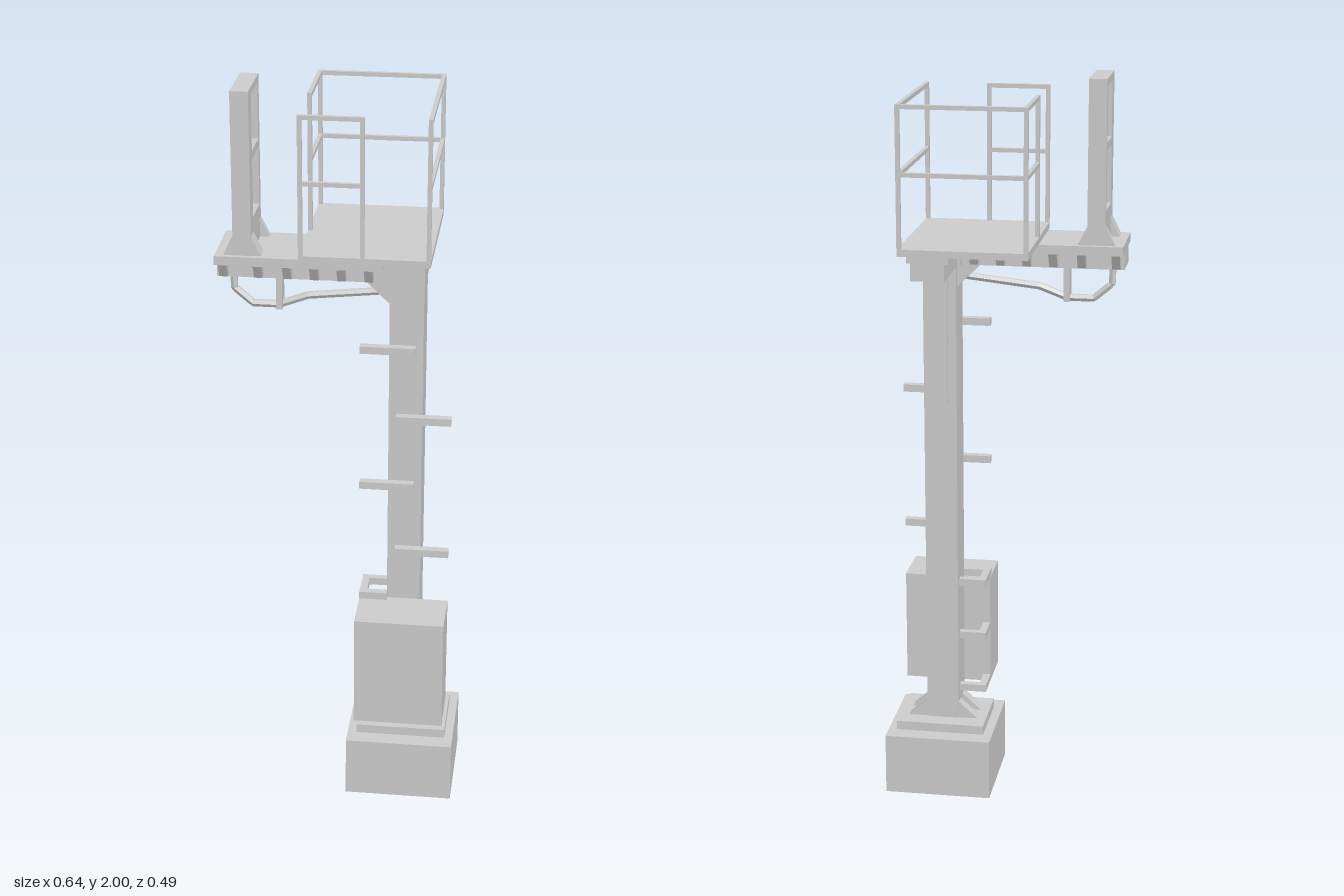
import * as THREE from 'three';

const material = new THREE.MeshStandardMaterial({ color: 0xcccccc, flatShading: true, side: THREE.DoubleSide });

export function createModel() {
  const model = new THREE.Group();

  function add(parent, name, geometry) {
    const mesh = new THREE.Mesh(geometry, material);
    mesh.name = name;
    parent.add(mesh);
    return mesh;
  }
  // Box given by its lower and upper limits on each axis
  function box(parent, name, x0, x1, y0, y1, z0, z1) {
    const mesh = add(parent, name, new THREE.BoxGeometry(x1 - x0, y1 - y0, z1 - z0));
    mesh.position.set((x0 + x1) / 2, (y0 + y1) / 2, (z0 + z1) / 2);
    return mesh;
  }
  // Outline in x-y, extruded from z0 to z1
  function prismXY(parent, name, points, z0, z1) {
    const shape = new THREE.Shape(points.map(p => new THREE.Vector2(...p)));
    const geometry = new THREE.ExtrudeGeometry(shape, { depth: z1 - z0, bevelEnabled: false });
    geometry.translate(0, 0, z0);
    return add(parent, name, geometry);
  }
  // Outline in z-y, extruded from x0 to x1
  function prismZY(parent, name, points, x0, x1, holes = []) {
    const shape = new THREE.Shape(points.map(([z, y]) => new THREE.Vector2(-z, y)));
    holes.forEach(h => shape.holes.push(new THREE.Path(h.map(([z, y]) => new THREE.Vector2(-z, y)))));
    const geometry = new THREE.ExtrudeGeometry(shape, { depth: x1 - x0, bevelEnabled: false });
    geometry.rotateY(Math.PI / 2);
    geometry.translate(x0, 0, 0);
    return add(parent, name, geometry);
  }
  const rect = (a0, a1, b0, b1) => [[a0, b0], [a1, b0], [a1, b1], [a0, b1]];
  function group(name) {
    const g = new THREE.Group();
    g.name = name;
    model.add(g);
    return g;
  }

  // Foundation and foot
  const foot = group('foot');
  box(foot, 'foundation', 0.025, 0.318, 0, 0.17, -0.097, 0.192);
  box(foot, 'basePlate', 0.05, 0.295, 0.17, 0.195, -0.048, 0.146);
  for (const [z0, z1] of [[0.003, 0.033], [0.063, 0.095]]) {
    prismXY(foot, 'footGusset', [[0.213, 0.195], [0.268, 0.195], [0.213, 0.245]], z0, z1);
    prismXY(foot, 'footGusset', [[0.129, 0.195], [0.129, 0.245], [0.075, 0.195]], z0, z1);
  }

  // Mast with head and rear cover strip
  const mast = group('mast');
  box(mast, 'mastPost', 0.127, 0.216, 0.195, 1.57, 0, 0.1);
  box(mast, 'mastHead', 0.11, 0.218, 1.5, 1.57, -0.022, 0.115);
  box(mast, 'rearStrip', 0.15, 0.19, 1.115, 1.5, -0.008, 0.001);
  prismXY(mast, 'headGusset', [[0.06, 1.5], [0.128, 1.435], [0.128, 1.5]], 0.015, 0.085);

  // Climbing steps, alternating sides
  [0.735, 0.93, 1.125, 1.32].forEach((y, i) => {
    const x = i % 2 ? 0.052 : 0.148;
    box(mast, 'step', x, x + 0.145, y - 0.01, y + 0.01, 0.1, 0.122);
  });

  // Equipment cabinet and its mounting brackets
  const cabinet = group('cabinet');
  box(cabinet, 'cabinetBody', 0.053, 0.293, 0.27, 0.582, 0.1, 0.242);
  for (const y of [0.27, 0.428, 0.585]) {
    box(cabinet, 'bracketArm', 0.053, 0.128, y, y + 0.02, 0.02, 0.04);
    box(cabinet, 'bracketSide', 0.053, 0.073, y, y + 0.02, 0.04, 0.121);
    box(cabinet, 'bracketFront', 0.073, 0.128, y, y + 0.02, 0.1, 0.121);
  }

  // Side arm: beam, wide deck and gussets beneath it
  const arm = group('sideArm');
  box(arm, 'armBeam', -0.32, 0.112, 1.5, 1.546, 0, 0.1);
  box(arm, 'armDeck', -0.32, 0.112, 1.546, 1.57, -0.048, 0.144);
  for (const x of [-0.3, -0.21, -0.135, -0.065, 0.005, 0.075]) {
    prismZY(arm, 'armGusset', [[0.1, 1.505], [0.115, 1.505], [0.138, 1.546], [0.1, 1.546]], x - 0.011, x + 0.011);
    prismZY(arm, 'armGusset', [[0, 1.505], [0, 1.546], [-0.042, 1.546], [-0.018, 1.505]], x - 0.011, x + 0.011);
  }

  // Cable conduit below the arm
  const path = new THREE.CurvePath();
  const stops = [[-0.284, 1.51], [-0.284, 1.452], [-0.235, 1.41], [-0.165, 1.41], [-0.09, 1.438], [0.13, 1.462]]
    .map(([x, y]) => new THREE.Vector3(x, y, 0.05));
  for (let i = 1; i < stops.length; i++) path.add(new THREE.LineCurve3(stops[i - 1], stops[i]));
  add(arm, 'conduit', new THREE.TubeGeometry(path, 60, 0.01, 6, false));
  box(arm, 'conduitHanger', -0.172, -0.156, 1.402, 1.5, 0.03, 0.07);

  // Upright frame on the arm
  const frame = group('uprightFrame');
  prismZY(frame, 'framePanel', rect(-0.035, 0.132, 1.57, 2), -0.272, -0.225,
    [rect(-0.012, 0.088, 1.66, 1.813), rect(-0.012, 0.088, 1.835, 1.98)]);
  for (const [z0, z1] of [[-0.035, -0.015], [0.087, 0.13]]) {
    prismXY(frame, 'frameGusset', [[-0.297, 1.57], [-0.272, 1.57], [-0.272, 1.62]], z0, z1);
    prismXY(frame, 'frameGusset', [[-0.225, 1.57], [-0.2, 1.57], [-0.225, 1.62]], z0, z1);
  }

  // Work platform with rear support
  const platform = group('platform');
  box(platform, 'platformDeck', -0.1, 0.236, 1.57, 1.588, -0.243, 0.166);
  box(platform, 'rearSupport', 0.12, 0.208, 1.5, 1.546, -0.21, -0.02);
  box(platform, 'supportPlate', 0.11, 0.218, 1.546, 1.57, -0.21, -0.02);

  // Railing: posts, then middle and top rails, with two openings
  const t = 0.011, L = -0.1, R = 0.236, B = -0.243, F = 0.166, top = 1.955;
  const posts = [[L, B], [R - t, B], [R - t, F - t], [L, F - t], [0.057, F - t], [L, -0.038]];
  for (const [x, z] of posts) box(platform, 'railingPost', x, x + t, 1.588, top, z, z + t);
  for (const y of [1.773, top - t]) {
    box(platform, 'rearRail', L, R, y, y + t, B, B + t);
    box(platform, 'leftRail', R - t, R, y, y + t, B, F);
    box(platform, 'rightRail', L, L + t, y, y + t, B, -0.027);
    box(platform, 'frontRail', L, 0.068, y, y + t, F - t, F);
  }
  return model;
}
